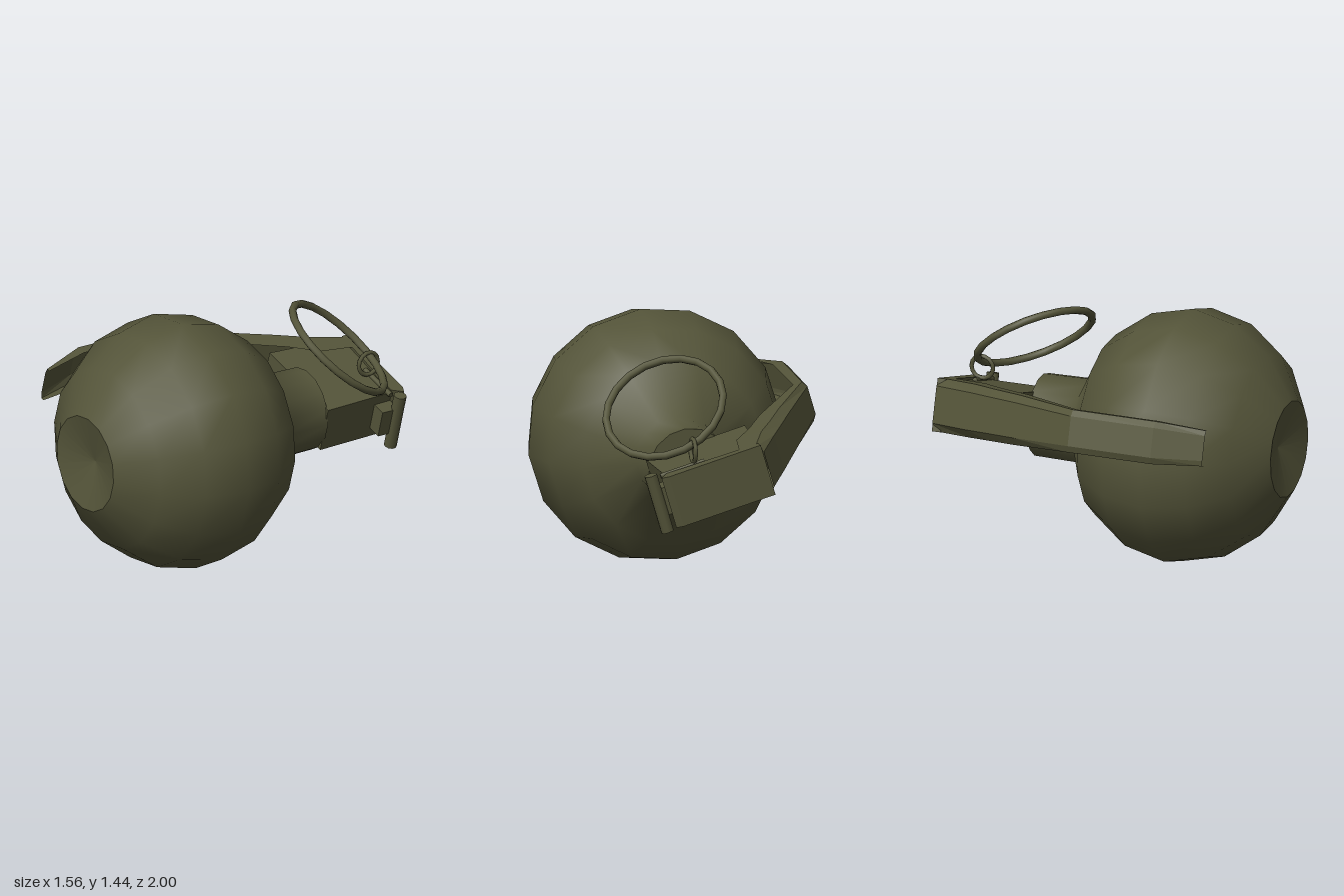
import * as THREE from 'three';

export function createModel() {
  const root = new THREE.Group();
  const olive = new THREE.MeshStandardMaterial({ color: 0x545439, side: THREE.DoubleSide });
  olive.name = 'olive drab';

  const add = (parent, name, geometry, x = 0, y = 0, z = 0) => {
    const mesh = new THREE.Mesh(geometry, olive);
    mesh.name = name;
    mesh.position.set(x, y, z);
    parent.add(mesh);
    return mesh;
  };

  // Turned part: [radius, z] pairs, running from back to front
  const turned = (points) => new THREE.LatheGeometry(
    points.map(([r, z]) => new THREE.Vector2(r, z)), 16).rotateX(Math.PI / 2);

  // Plan outline of [x, z] points, extruded to a height centred on y = 0
  const slab = (points, height) => new THREE.ExtrudeGeometry(
    new THREE.Shape(points.map(([x, z]) => new THREE.Vector2(x, z))),
    { depth: height, bevelEnabled: false }).rotateX(Math.PI / 2).translate(0, height / 2, 0);

  // Round body with a dished front and a short neck
  const body = new THREE.Group();
  body.name = 'body';
  body.position.set(0.06, 0.727, 0);
  body.rotation.z = -0.11;
  root.add(body);
  add(body, 'shell', turned([[0.235, -0.49], [0.24, -0.21], [0.515, -0.07], [0.665, 0.14],
    [0.724, 0.39], [0.665, 0.64], [0.515, 0.85], [0.275, 1]]));
  add(body, 'dishedFront', turned([[0.275, 1], [0, 0.93]]));
  add(body, 'neckEnd', turned([[0, -0.49], [0.235, -0.49]]));

  // Fuze assembly, turned about the long axis
  const fuze = new THREE.Group();
  fuze.name = 'fuze';
  fuze.position.set(0.06, 0.727, 0);
  fuze.rotation.z = -0.286;
  root.add(fuze);
  add(fuze, 'fuzeHead', slab([[0.2, -0.98], [0.22, -0.48], [-0.37, -0.48], [-0.34, -0.98]], 0.27));
  add(fuze, 'endPlate', slab([[0.2, -1], [0.24, -0.98], [0.2, -0.92], [-0.34, -0.95], [-0.345, -1]], 0.3));

  // Lever: open channel with chamfered edges, stations [z, outer x, inner x, half width]
  const stations = [
    [-1, -0.35, -0.22, 0.15], [-0.75, -0.472, -0.26, 0.15], [-0.6, -0.546, -0.37, 0.145],
    [-0.4, -0.644, -0.48, 0.14], [0.01, -0.845, -0.77, 0.12],
    [0.51, -0.85, -0.77, 0.12], [0.78, -0.745, -0.715, 0.1],
  ];
  const positions = [];
  const index = [];
  stations.forEach(([z, outer, inner, h], i) => {
    const shoulder = outer + (inner - outer) * 0.3;
    const section = [[inner, -h], [shoulder, -h], [outer, -0.7 * h],
      [outer, 0.7 * h], [shoulder, h], [inner, h]];
    section.forEach(([x, y]) => positions.push(x, y, z));
    if (i === 0) return;
    for (let k = 0; k < 5; k++) {
      const a = (i - 1) * 6 + k, b = a + 6;
      index.push(a, b, a + 1, b, b + 1, a + 1);
    }
  });
  const channel = new THREE.BufferGeometry();
  channel.setAttribute('position', new THREE.Float32BufferAttribute(positions, 3));
  channel.setIndex(index);
  const lever = channel.toNonIndexed();
  lever.computeVertexNormals();
  add(fuze, 'lever', lever);

  // Hinge pin and its bracket on the side of the head
  add(fuze, 'hingePin', new THREE.CylinderGeometry(0.036, 0.036, 0.34, 10), 0.285, 0, -0.92);
  add(fuze, 'hingeBracket', new THREE.BoxGeometry(0.1, 0.16, 0.11), 0.24, 0, -0.87);

  // Safety pin wire lying across the head
  const wire = add(fuze, 'safetyPin', new THREE.CylinderGeometry(0.015, 0.015, 0.26, 8), 0.1, 0.14, -0.9);
  wire.rotation.z = Math.PI / 2;

  // Pull ring and the small link that holds it
  const ring = add(root, 'pullRing', new THREE.TorusGeometry(0.34, 0.022, 8, 20), 0.23, 1.115, -0.605);
  ring.quaternion.setFromUnitVectors(new THREE.Vector3(0, 0, 1),
    new THREE.Vector3(0.41, 0.75, -0.52).normalize());
  const link = add(root, 'ringLink', new THREE.TorusGeometry(0.065, 0.013, 6, 14), 0.13, 0.93, -0.88);
  link.rotation.y = Math.PI / 2;

  return root;
}
